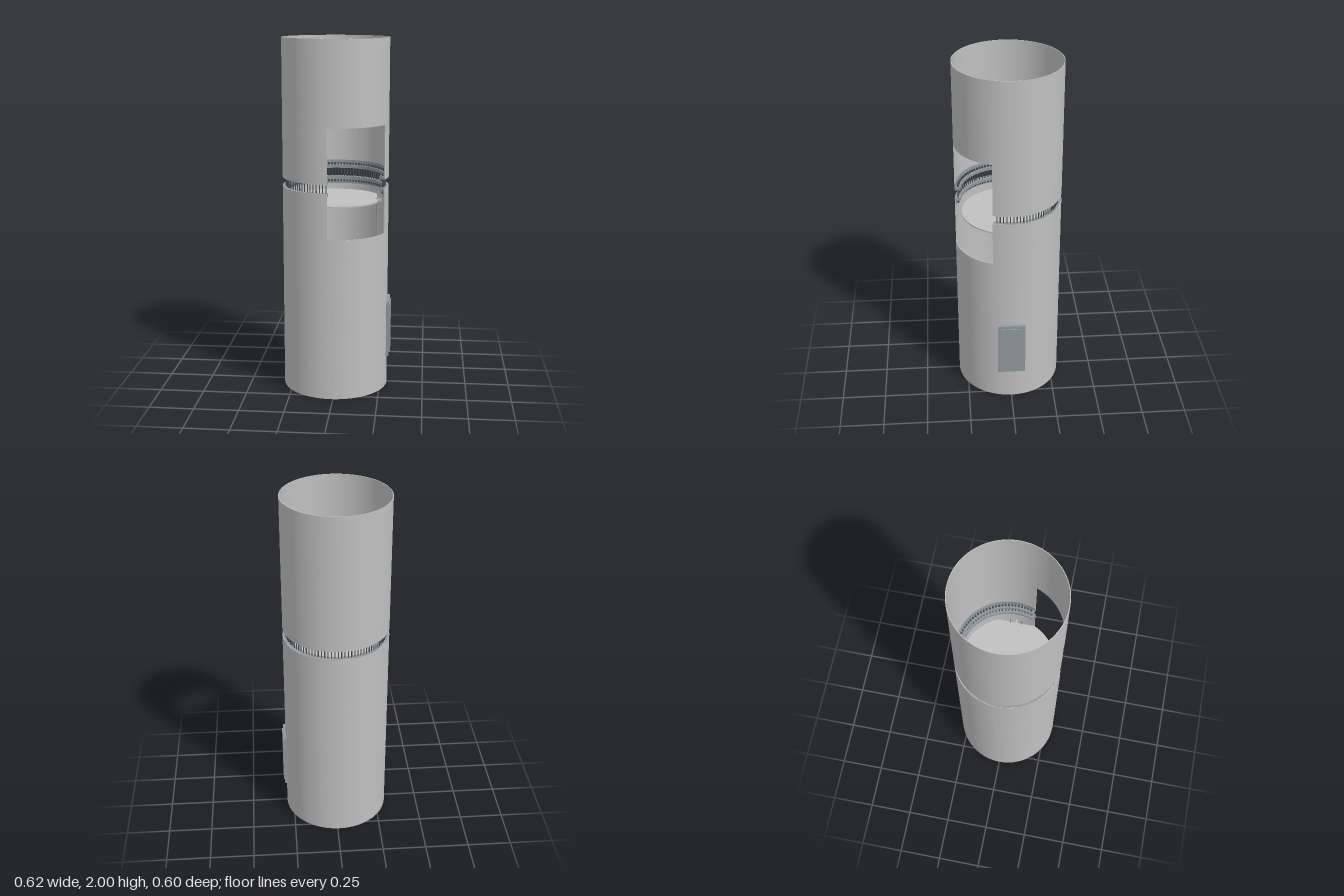
import * as THREE from 'three';
import { mergeGeometries, toCreasedNormals } from 'three/addons/utils/BufferGeometryUtils.js';

const rad = THREE.MathUtils.degToRad;
// The opening spans 20 to 94 degrees, turning from +x towards +z.
const OPEN_FROM = 20, OPEN_TO = 94;

// Extrude a plan shape upwards from y0 to y1 with smooth round sides.
function extrudeUp(shape, y0, y1) {
  const g = new THREE.ExtrudeGeometry(shape, { depth: y1 - y0, bevelEnabled: false, curveSegments: 96 });
  g.rotateX(-Math.PI / 2);
  g.translate(0, y0, 0);
  return toCreasedNormals(g, 0.5);
}

function ring(rIn, rOut, y0, y1) {
  const s = new THREE.Shape().absarc(0, 0, rOut, 0, Math.PI * 2, false);
  s.holes.push(new THREE.Path().absarc(0, 0, rIn, 0, Math.PI * 2, true));
  return extrudeUp(s, y0, y1);
}

// Ring that stops at both sides of the opening.
function openRing(rIn, rOut, y0, y1) {
  const a = rad(-OPEN_FROM), b = rad(360 - OPEN_TO);
  const s = new THREE.Shape();
  s.absarc(0, 0, rOut, a, b, false);
  s.absarc(0, 0, rIn, b, a, true);
  s.closePath();
  return extrudeUp(s, y0, y1);
}

function cylinder(r, y0, y1, sides, x = 0, z = 0) {
  return new THREE.CylinderGeometry(r, r, y1 - y0, sides).translate(x, (y0 + y1) / 2, z);
}

function box(x0, x1, y0, y1, z0, z1) {
  return new THREE.BoxGeometry(x1 - x0, y1 - y0, z1 - z0)
    .translate((x0 + x1) / 2, (y0 + y1) / 2, (z0 + z1) / 2);
}

export function createModel() {
  const shellGrey = new THREE.MeshStandardMaterial({ color: 0xc0c0c0 });
  shellGrey.name = 'shellGrey';
  const steelGrey = new THREE.MeshStandardMaterial({ color: 0x90989b });
  steelGrey.name = 'steelGrey';
  const boltGrey = new THREE.MeshStandardMaterial({ color: 0x4c5053 });
  boltGrey.name = 'boltGrey';

  const model = new THREE.Group();
  model.name = 'tower';
  const add = (name, geometry, material) => {
    const mesh = new THREE.Mesh(geometry, material);
    mesh.name = name;
    mesh.position.x = -0.01;
    model.add(mesh);
  };

  // Shell sections, with the opening cut through two of them
  const R = 0.3, RI = 0.296;
  [[0, 0.39], [0.39, 0.79], [0.79, 0.92], [1.53, 1.61], [1.61, 2]]
    .forEach(([a, b], i) => add(`shellSection${i + 1}`, ring(RI, R, a, b), shellGrey));
  add('lowerCutSection', openRing(RI, R, 0.92, 1.175), shellGrey);
  add('upperCutSection', openRing(RI, R, 1.225, 1.53), shellGrey);

  // Flanges: a flat plate and an upright collar inside the shell
  add('baseFlange', ring(0.267, 0.2995, 0, 0.02), steelGrey);
  add('lowerFlangePlate', openRing(0.267, 0.2995, 1.157, 1.175), steelGrey);
  add('lowerFlangeCollar', openRing(0.291, 0.296, 1.13, 1.157), steelGrey);
  add('upperFlangePlate', openRing(0.267, 0.2995, 1.225, 1.243), steelGrey);
  add('upperFlangeCollar', openRing(0.291, 0.296, 1.243, 1.27), steelGrey);

  // Bolts with hexagonal heads above and nuts below
  const bolts = [];
  const count = 76;
  for (let i = 0; i < count; i++) {
    const a = rad(95.7 + (280.6 * i) / (count - 1));
    const x = 0.281 * Math.cos(a), z = 0.281 * Math.sin(a);
    bolts.push(
      cylinder(0.003, 1.14, 1.255, 8, x, z),
      cylinder(0.006, 1.243, 1.256, 6, x, z),
      cylinder(0.006, 1.144, 1.157, 6, x, z));
  }
  add('bolts', mergeGeometries(bolts), boltGrey);

  // Round platform with a wedge left open for the ladder
  const pie = new THREE.Shape();
  pie.moveTo(0, 0);
  pie.absarc(0, 0, 0.262, rad(23.2), rad(336.8), false);
  pie.closePath();
  add('platform', extrudeUp(pie, 1.092, 1.1), shellGrey);
  add('platformBeam', box(0, 0.26, 1.08, 1.1, -0.005, 0.005), shellGrey);

  // Ladder
  const ladder = [-0.032, 0.032].map(z => cylinder(0.003, 0.02, 1.145, 8, 0.238, z));
  for (let y = 0.06; y < 1.14; y += 0.045)
    ladder.push(new THREE.CylinderGeometry(0.0018, 0.0018, 0.064, 6).rotateX(Math.PI / 2).translate(0.238, y, 0));
  add('ladder', mergeGeometries(ladder), steelGrey);

  // Door: frame with a raised panel
  add('doorFrame', box(0.297, 0.312, 0.185, 0.51, -0.079, 0.079), steelGrey);
  add('doorPanel', box(0.312, 0.319, 0.203, 0.492, -0.062, 0.062), steelGrey);

  return model;
}
